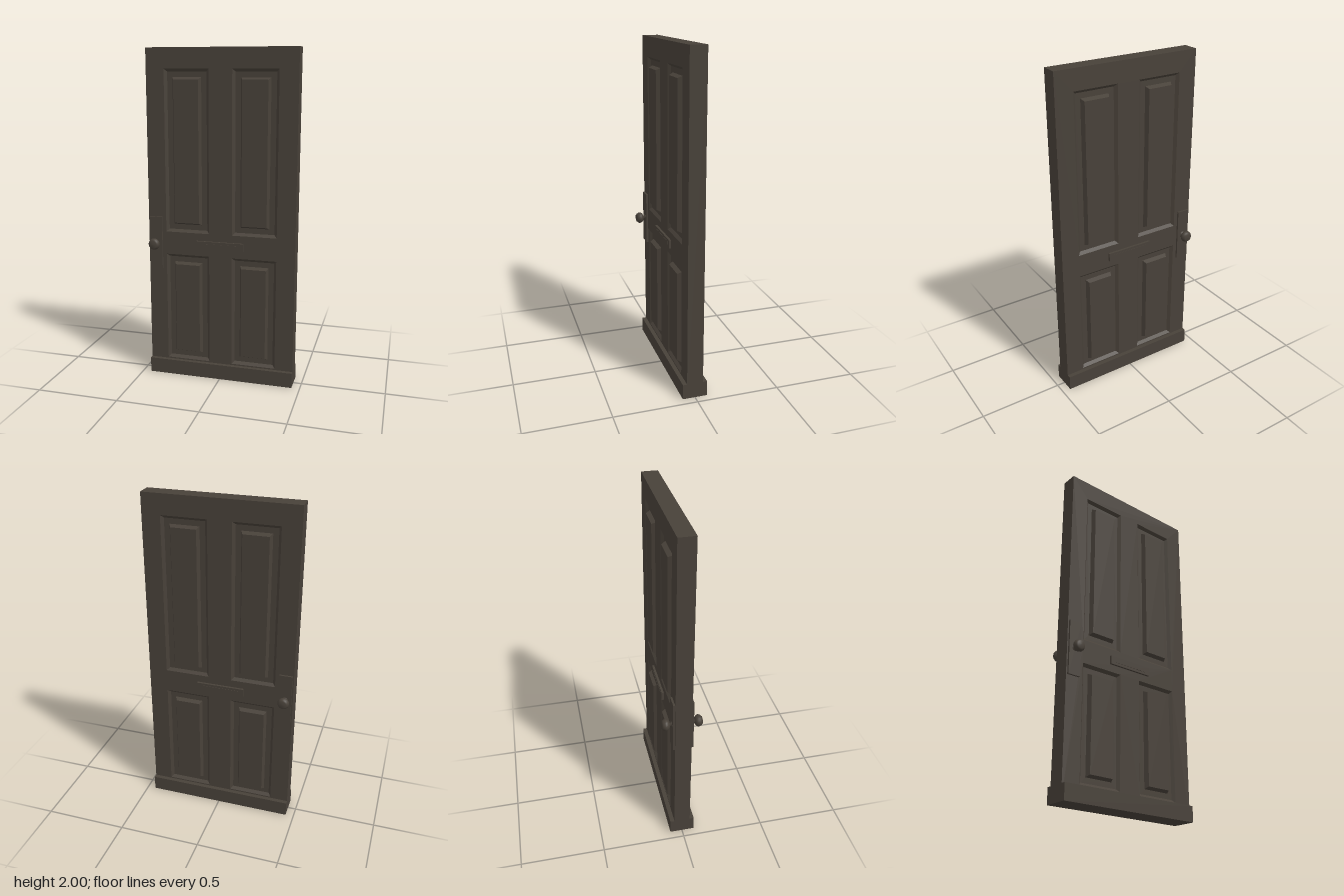
import * as THREE from 'three';

const W = 0.45, H = 2, T = 0.0485; // half width, height, half thickness
const KNOB_X = -0.403, KNOB_Y = 0.843;

// Rectangular stepped relief: each step is [inset, z]; the last step is capped.
function reliefPanel(x0, y0, x1, y1, steps) {
  const loops = steps.map(([i, z]) => [
    [x0 + i, y0 + i, z], [x1 - i, y0 + i, z], [x1 - i, y1 - i, z], [x0 + i, y1 - i, z],
  ]);
  const pos = [];
  const quad = (a, b, c, d) => pos.push(...a, ...b, ...c, ...a, ...c, ...d);
  for (let s = 0; s < loops.length - 1; s++) {
    for (let k = 0; k < 4; k++) {
      const n = (k + 1) % 4;
      quad(loops[s][k], loops[s][n], loops[s + 1][n], loops[s + 1][k]);
    }
  }
  quad(...loops[loops.length - 1]);
  const g = new THREE.BufferGeometry();
  g.setAttribute('position', new THREE.Float32BufferAttribute(pos, 3));
  g.computeVertexNormals();
  return g;
}

export function createModel() {
  const door = new THREE.Group();
  door.name = 'door';
  const wood = new THREE.MeshStandardMaterial({ color: 0x484139 });
  wood.name = 'darkBrown';

  const add = (parent, name, geometry, x = 0, y = 0, z = 0) => {
    const m = new THREE.Mesh(geometry, wood);
    m.name = name;
    m.position.set(x, y, z);
    parent.add(m);
    return m;
  };

  // Four panel openings
  const openings = [];
  for (const [x0, x1] of [[-0.34, -0.07], [0.07, 0.34]]) {
    openings.push([x0, 0.915, x1, 1.88], [x0, 0.1, x1, 0.775]);
  }

  // Door slab with the openings cut out
  const rect = (C, x0, y0, x1, y1) => new C([
    new THREE.Vector2(x0, y0), new THREE.Vector2(x1, y0),
    new THREE.Vector2(x1, y1), new THREE.Vector2(x0, y1),
  ]);
  const outline = rect(THREE.Shape, -W, 0, W, H);
  for (const o of openings) outline.holes.push(rect(THREE.Path, ...o));
  add(door, 'slab', new THREE.ExtrudeGeometry(outline, { depth: 2 * T, bevelEnabled: false }), 0, 0, -T);

  // Bottom weather board
  add(door, 'kickBoard', new THREE.BoxGeometry(2 * W, 0.092, 0.148), 0, 0.046, 0);

  // Knob profile: neck, then a rounded head flattened at the end
  const knobProfile = [
    [0.02, 0], [0.02, 0.004], [0.011, 0.006], [0.011, 0.014], [0.022, 0.016], [0.031, 0.024],
    [0.035, 0.034], [0.034, 0.042], [0.029, 0.051], [0.022, 0.058], [0, 0.059],
  ].map(([r, y]) => new THREE.Vector2(r, y));

  // Both faces carry the same panels and fittings
  for (const side of [1, -1]) {
    const face = new THREE.Group();
    face.name = side > 0 ? 'frontFace' : 'backFace';
    if (side < 0) face.rotation.y = Math.PI;
    door.add(face);

    // Sloped recess with a raised centre field
    for (const o of openings) {
      add(face, 'panel', reliefPanel(...o, [[0, T], [0.016, 0.032], [0.048, 0.032], [0.06, 0.057]]));
    }

    // Letter slot
    add(face, 'letterPlate', new THREE.BoxGeometry(0.29, 0.05, 0.02), -0.004 * side, 0.845, 0.052);
    add(face, 'letterFlap', new THREE.BoxGeometry(0.23, 0.022, 0.003), -0.004 * side, 0.845, 0.0625);

    // Lock plate and knob
    const kx = KNOB_X * side;
    add(face, 'lockPlate', new THREE.BoxGeometry(0.078, 0.324, 0.02), kx, KNOB_Y, 0.05);
    const knob = add(face, 'knob', new THREE.LatheGeometry(knobProfile, 20), kx, KNOB_Y, 0.059);
    knob.rotation.x = Math.PI / 2;
  }
  return door;
}
